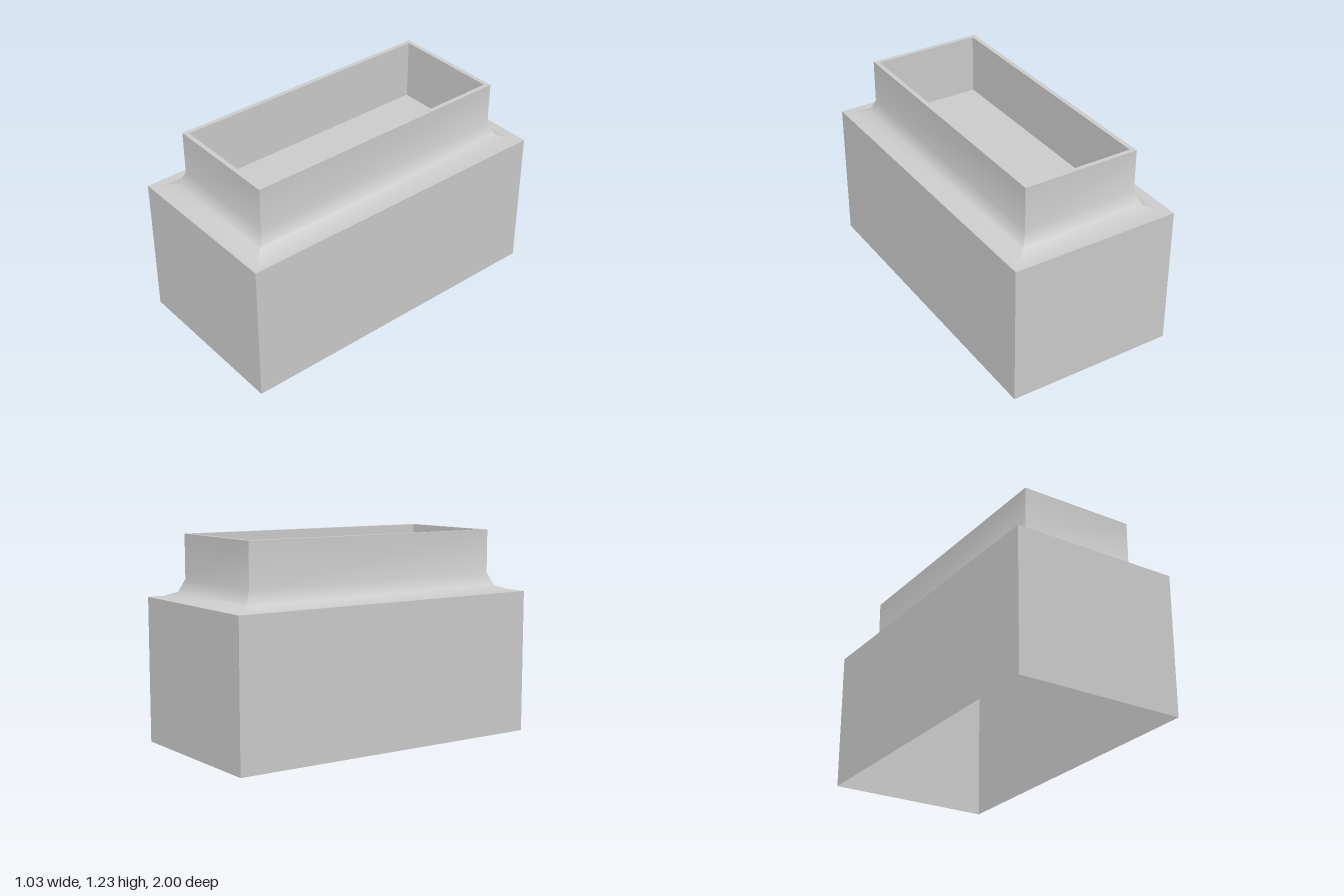
import * as THREE from 'three';
import { toCreasedNormals } from 'three/addons/utils/BufferGeometryUtils.js';

// Skin rectangular rings [halfX, y, halfZ], hard edges kept sharp
function loftRings(rings) {
  const pos = [], index = [];
  for (const [x, y, z] of rings) pos.push(x, y, z, x, y, -z, -x, y, -z, -x, y, z);
  for (let r = 0; r < rings.length - 1; r++) {
    for (let i = 0; i < 4; i++) {
      const a = r * 4 + i, b = r * 4 + (i + 1) % 4;
      index.push(a, b, b + 4, a, b + 4, a + 4);
    }
  }
  const geo = new THREE.BufferGeometry();
  geo.setAttribute('position', new THREE.Float32BufferAttribute(pos, 3));
  geo.setIndex(index);
  return toCreasedNormals(geo, 0.9);
}

export function createModel() {
  const group = new THREE.Group();
  const grey = new THREE.MeshStandardMaterial({ color: 0xcccccc, side: THREE.DoubleSide });
  grey.name = 'light grey';

  const add = (name, geo) => {
    const mesh = new THREE.Mesh(geo, grey);
    mesh.name = name;
    group.add(mesh);
    return mesh;
  };

  const deck = 0.86, top = 1.23;

  // Thin box walls, open underneath
  add('boxWalls', loftRings([[0.515, 0, 1], [0.515, deck, 1]]));

  // Ledge flaring up into the neck, then over the rim and down inside
  add('ledgeAndNeck', loftRings([
    [0.515, deck, 1],
    [0.47, deck, 0.955],
    [0.387, 0.893, 0.873],
    [0.355, 0.967, 0.84],
    [0.355, top, 0.84],
    [0.328, top, 0.813],
    [0.328, deck, 0.813],
  ]));

  // Closed floor of the neck, also the ceiling of the box
  const floor = add('neckFloor', new THREE.PlaneGeometry(0.94, 1.91));
  floor.rotation.x = -Math.PI / 2;
  floor.position.y = deck;

  return group;
}
